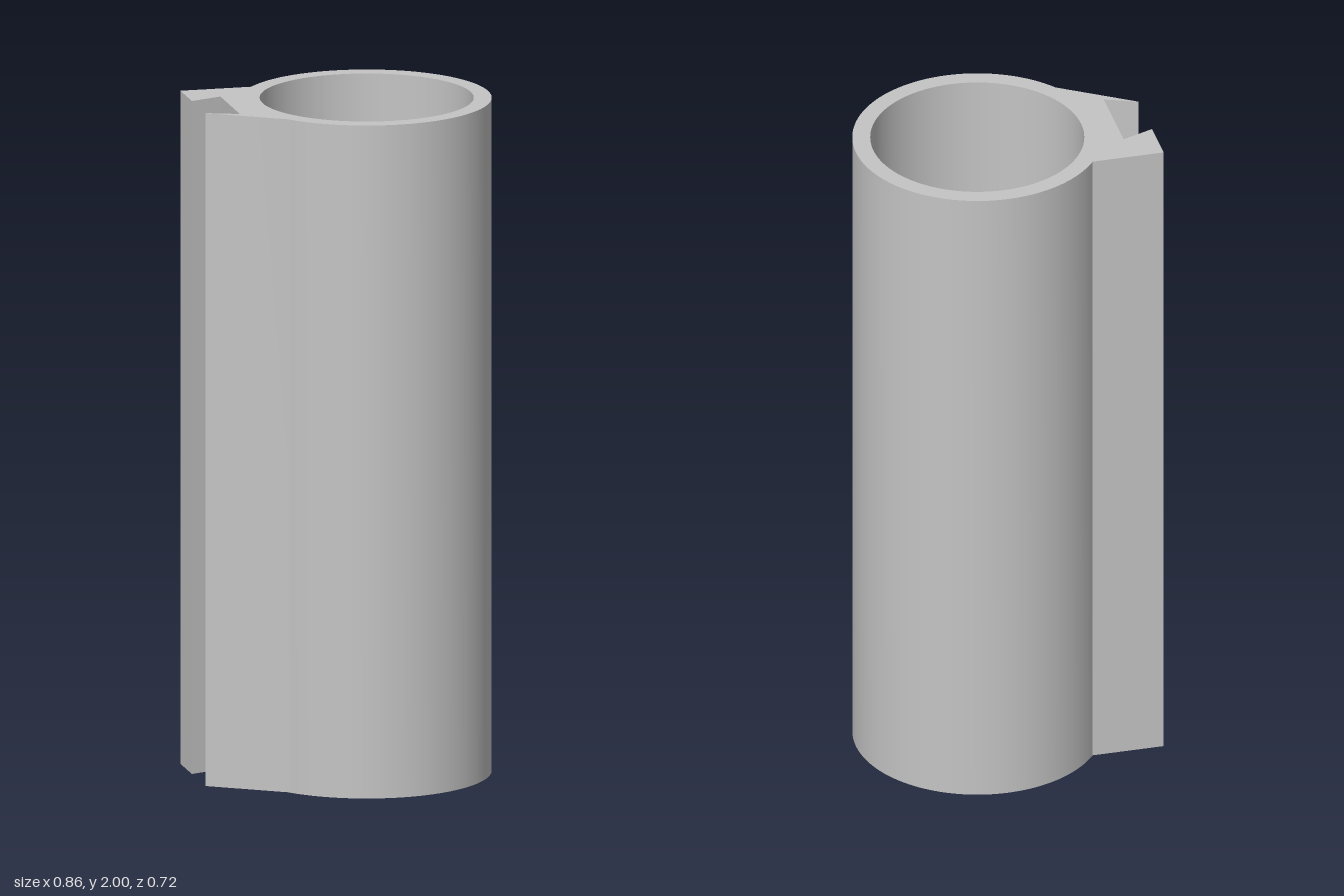
import * as THREE from 'three';
import { toCreasedNormals } from 'three/addons/utils/BufferGeometryUtils.js';

const HEIGHT = 2, FLOOR = 0.1;
const CX = 0.07, OUTER = 0.362, BORE = 0.31, HOLE = 0.114;
const RAIL_X = -0.432, RAIL_Z = 0.217;

export function createModel() {
  const group = new THREE.Group();
  const grey = new THREE.MeshStandardMaterial({ color: 0xc4c4c4 });
  grey.name = 'grey';

  const add = (name, geometry) => {
    const mesh = new THREE.Mesh(toCreasedNormals(geometry, 0.5), grey);
    mesh.name = name;
    group.add(mesh);
    return mesh;
  };

  // Tube outline merged with a side rail that has a dovetail slot
  const join = Math.PI - Math.asin(RAIL_Z / OUTER);
  const outline = new THREE.Shape();
  outline.moveTo(RAIL_X, -RAIL_Z);
  outline.absarc(CX, 0, OUTER, -join, join, false);
  outline.lineTo(RAIL_X, RAIL_Z);
  outline.lineTo(RAIL_X, 0.08);
  outline.lineTo(-0.338, 0.116);
  outline.lineTo(-0.338, -0.116);
  outline.lineTo(RAIL_X, -0.08);
  outline.closePath();

  const bore = new THREE.Path();
  bore.absarc(CX, 0, BORE, 0, Math.PI * 2, true);
  outline.holes.push(bore);

  const body = new THREE.ExtrudeGeometry(outline, { depth: HEIGHT, bevelEnabled: false, curveSegments: 64 });
  body.rotateX(-Math.PI / 2);
  add('tubeWithSlottedRail', body);

  // Floor ring with a round drain hole, closing the bottom of the bore
  const profile = [[BORE, FLOOR], [HOLE, FLOOR], [HOLE, 0], [BORE, 0]]
    .map(([r, y]) => new THREE.Vector2(r, y));
  add('floorRing', new THREE.LatheGeometry(profile, 64)).position.x = CX;

  return group;
}
